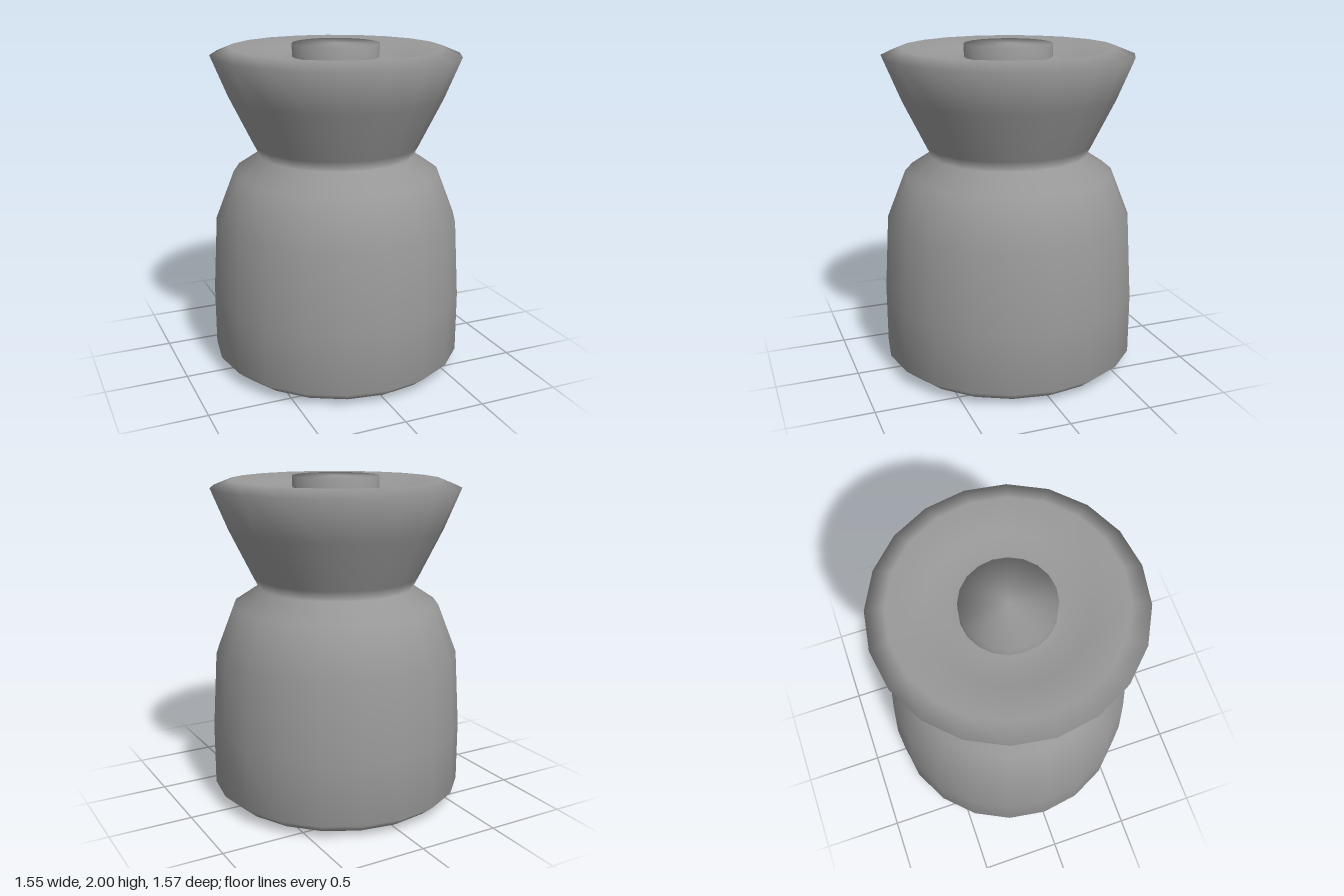
import * as THREE from 'three';

const SIDES = 20;
const OVAL = 0.985; // slightly oval plan
const grey = new THREE.MeshStandardMaterial({ color: 0x999999 });

// Smooth, low-sided turned shape from [radius, height] pairs, bottom to top
function turned(name, profile) {
  const points = profile.map(([r, y]) => new THREE.Vector2(r, y));
  const mesh = new THREE.Mesh(new THREE.LatheGeometry(points, SIDES), grey);
  mesh.name = name;
  mesh.scale.x = OVAL;
  return mesh;
}

export function createModel() {
  const group = new THREE.Group();
  group.name = 'turnedKnob';

  // Barrel base, narrow waist and flared head with a dished top
  group.add(turned('knob', [
    [0, 0], [0.71, 0.02], [0.787, 0.085], [0.787, 0.46],
    [0.757, 0.93], [0.64, 1.225], [0.48, 1.33], [0.514, 1.395],
    [0.66, 1.69], [0.762, 1.935], [0.65, 1.98],
    [0.45, 1.935], [0.32, 1.914], [0.25, 1.924],
  ]));

  // Centre stud standing in the dish
  const stud = turned('stud', [[0.267, 1.85], [0.267, 2], [0, 2]]);

  // Let the stud's wall shade smoothly over its top edge, like a dome
  const { position, normal } = stud.geometry.attributes;
  for (let i = 0; i < position.count; i++) {
    const edge = new THREE.Vector3(position.getX(i), 0, position.getZ(i));
    if (edge.length() < 0.1) continue;
    edge.normalize().setY(position.getY(i) > 1.9 ? 0.25 : 0).normalize();
    normal.setXYZ(i, edge.x, edge.y, edge.z);
  }
  group.add(stud);

  return group;
}
